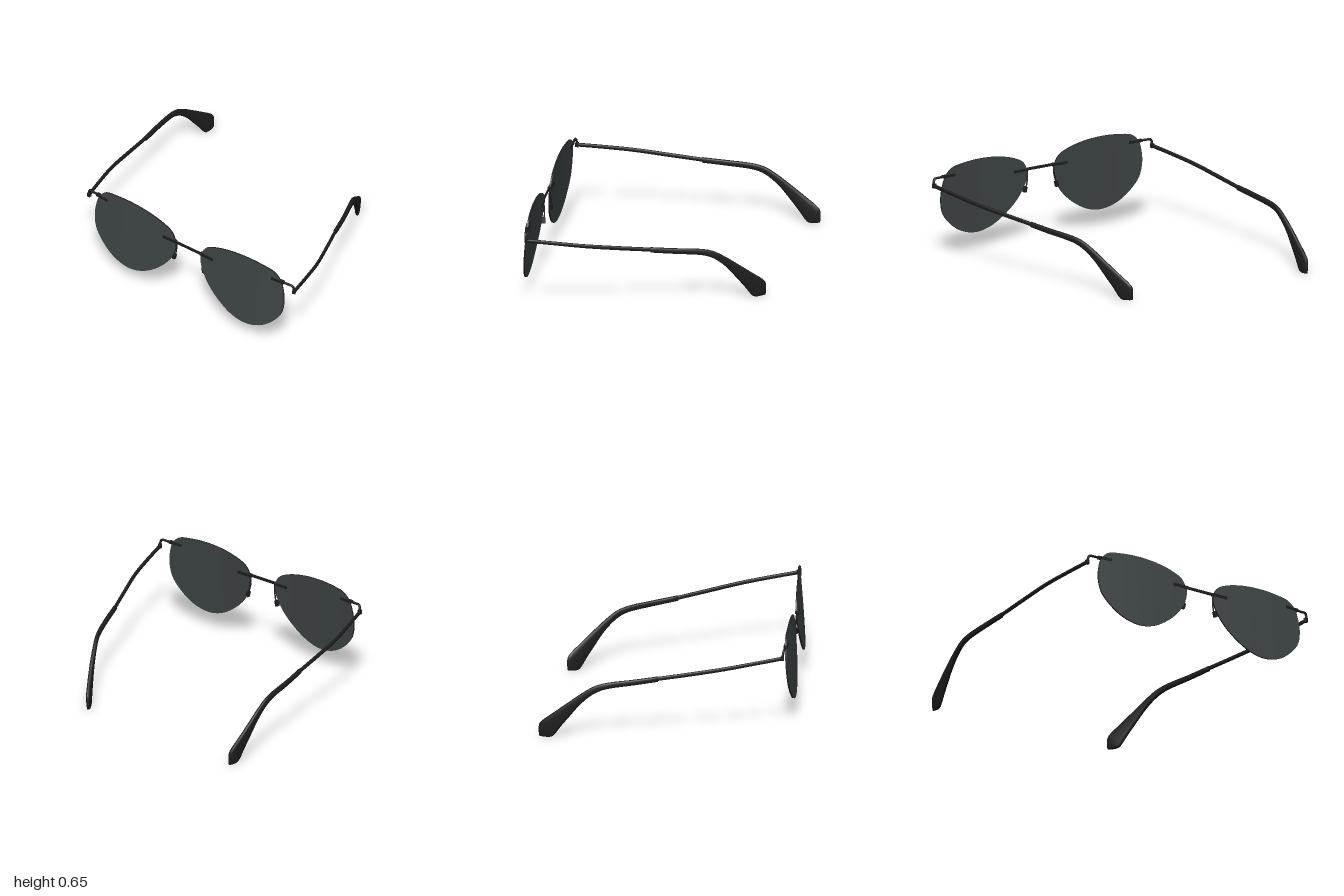
import * as THREE from 'three';

const CX = 0.105; // mirror plane of the lenses and bridge
const V = (x, y, z) => new THREE.Vector3(x, y, z);

// Skin a list of closed rings, each with the same number of points
function loft(rings) {
  const n = rings[0].length, pos = [], idx = [];
  rings.forEach(r => r.forEach(p => pos.push(p.x, p.y, p.z)));
  for (let i = 0; i < rings.length - 1; i++) {
    for (let j = 0; j < n; j++) {
      const k = (j + 1) % n, a = i * n + j, b = i * n + k;
      idx.push(a, b, a + n, b, b + n, a + n);
    }
  }
  const g = new THREE.BufferGeometry();
  g.setAttribute('position', new THREE.Float32BufferAttribute(pos, 3));
  g.setIndex(idx);
  g.computeVertexNormals();
  return g;
}

// Lens outline (distance from mirror plane, height), from the nose side over the top
const OUTLINE = [
  [0.107, 0.46], [0.113, 0.52], [0.145, 0.575], [0.225, 0.615], [0.355, 0.645], [0.495, 0.655],
  [0.625, 0.647], [0.72, 0.628], [0.77, 0.58], [0.795, 0.51], [0.805, 0.415], [0.785, 0.315],
  [0.72, 0.23], [0.625, 0.16], [0.502, 0.128], [0.385, 0.15], [0.275, 0.215], [0.185, 0.30], [0.128, 0.39],
];
// Tilted, gently wrapped lens surface
const lensZ = (u, y) => 0.832 + 0.076 * (0.4 - y) - 0.08 * (u - 0.3) ** 2;

// Temple sections: [outward, half thickness, upper back, upper y, lower back, lower y]
const ROD = [
  [0, 0.010, 0, 0.543, 0, 0.517],
  [0.055, 0.010, 0.2, 0.518, 0.2, 0.492],
  [0.10, 0.010, 0.385, 0.494, 0.385, 0.467],
  [0.131, 0.010, 0.6, 0.466, 0.6, 0.438],
  [0.162, 0.010, 0.85, 0.434, 0.85, 0.407],
];
const SLEEVE = [
  [0.160, 0.013, 0.835, 0.439, 0.835, 0.402],
  [0.187, 0.013, 1.0, 0.421, 1.0, 0.382],
  [0.208, 0.013, 1.18, 0.402, 1.17, 0.361],
  [0.213, 0.013, 1.26, 0.380, 1.23, 0.343],
  [0.214, 0.014, 1.34, 0.333, 1.29, 0.308],
  [0.214, 0.015, 1.44, 0.260, 1.36, 0.245],
  [0.211, 0.016, 1.54, 0.185, 1.43, 0.160],
  [0.207, 0.017, 1.61, 0.132, 1.49, 0.085],
  [0.204, 0.017, 1.635, 0.105, 1.53, 0.030],
  [0.202, 0.015, 1.642, 0.060, 1.55, 0.010],
  [0.201, 0.011, 1.638, 0.014, 1.57, 0.006],
];

function templeGeometry(sections, side) {
  const upper = new THREE.CatmullRomCurve3(sections.map(s => V(side * s[0], s[3], -s[2])));
  const lower = new THREE.CatmullRomCurve3(sections.map(s => V(side * s[0], s[5], -s[4])));
  const steps = (sections.length - 1) * 4, sides = 16, rings = [];
  const ring = (t, size) => {
    const f = t * (sections.length - 1), i = Math.min(Math.floor(f), sections.length - 2);
    const thick = THREE.MathUtils.lerp(sections[i][1], sections[i + 1][1], f - i);
    const up = upper.getPoint(t), low = lower.getPoint(t);
    const mid = up.clone().add(low).multiplyScalar(0.5), half = up.sub(low).multiplyScalar(0.5);
    const pts = [];
    for (let j = 0; j < sides; j++) {
      const a = j / sides * Math.PI * 2, c = Math.cos(a), s = Math.sin(a);
      // rounded-rectangle section
      const rc = Math.sign(c) * Math.abs(c) ** 0.75, rs = Math.sign(s) * Math.abs(s) ** 0.75;
      pts.push(mid.clone().addScaledVector(half, rc * size).add(V(rs * thick * size, 0, 0)));
    }
    return pts;
  };
  rings.push(ring(0, 0));
  for (let i = 0; i <= steps; i++) rings.push(ring(i / steps, 1));
  rings.push(ring(1, 0));
  return loft(rings);
}

export function createModel() {
  const root = new THREE.Group();
  root.name = 'sunglasses';
  const frameMat = new THREE.MeshStandardMaterial({ color: 0x1e1e1e });
  frameMat.name = 'black frame';
  const lensMat = new THREE.MeshStandardMaterial({ color: 0x3e4444 });
  lensMat.name = 'smoke grey lens';

  const add = (parent, name, geo, mat = frameMat) => {
    const m = new THREE.Mesh(geo, mat);
    m.name = name;
    parent.add(m);
    return m;
  };
  const box = (parent, name, w, h, d, x, y, z) => {
    const m = add(parent, name, new THREE.BoxGeometry(w, h, d));
    m.position.set(x, y, z);
    return m;
  };
  const tube = (parent, name, pts, r) =>
    add(parent, name, new THREE.TubeGeometry(new THREE.CatmullRomCurve3(pts), 20, r, 8));

  // Bridge between the lenses
  box(root, 'bridge', 0.24, 0.018, 0.009, CX, 0.513, 0.826);

  for (const side of [1, -1]) {
    const label = side > 0 ? 'left' : 'right';
    const X = u => CX + side * u;

    // Lens: front and back faces plus a dark edge
    const curve = new THREE.CatmullRomCurve3(OUTLINE.map(p => V(p[0], p[1], 0)), true);
    let outline = curve.getPoints(80).slice(0, 80);
    if (side > 0) outline = outline.reverse();
    const lensRing = (scale, dz) => outline.map(p => {
      const u = 0.47 + (p.x - 0.47) * scale, y = 0.41 + (p.y - 0.41) * scale;
      return V(X(u), y, lensZ(u, y) + dz);
    });
    const scales = [1, 0.8, 0.6, 0.4, 0.2, 0];
    const lens = new THREE.Group();
    lens.name = label + 'Lens';
    root.add(lens);
    add(lens, 'lensFront', loft(scales.map(s => lensRing(s, 0.005))), lensMat);
    add(lens, 'lensBack', loft([...scales].reverse().map(s => lensRing(s, -0.005))), lensMat);
    add(lens, 'lensEdge', loft([lensRing(1, -0.005), lensRing(1, 0.005)]));

    // Clip where the bridge grips the lens
    box(root, label + 'BridgeClip', 0.11, 0.019, 0.024, X(0.158), 0.513, 0.823);

    // Nose pad on a thin arm
    tube(root, label + 'NoseArm', [V(X(0.104), 0.51, 0.822), V(X(0.108), 0.45, 0.815), V(X(0.12), 0.385, 0.812)], 0.005);
    const pad = box(root, label + 'NosePad', 0.022, 0.04, 0.022, X(0.126), 0.376, 0.816);
    pad.rotation.z = side * 0.25;

    // Outer clip and bent end piece
    const clip = box(root, label + 'EndClip', 0.10, 0.018, 0.024, X(0.748), 0.577, lensZ(0.748, 0.577));
    clip.rotation.y = side * 0.07;
    tube(root, label + 'EndPiece', [
      V(X(0.78), 0.577, 0.800), V(X(0.83), 0.577, 0.797), V(X(0.861), 0.576, 0.794),
      V(X(0.869), 0.566, 0.791), V(X(0.875), 0.53, 0.787),
    ], 0.0085);

    // Temple: rod and flared ear sleeve, the left one folded further in
    const temple = new THREE.Group();
    temple.name = label + 'Temple';
    temple.position.set(X(0.874), 0, 0.79);
    temple.rotation.y = side > 0 ? 0.51 : 0;
    root.add(temple);
    box(temple, 'hinge', 0.022, 0.03, 0.022, 0, 0.53, -0.004);
    add(temple, 'templeRod', templeGeometry(ROD, side));
    add(temple, 'earSleeve', templeGeometry(SLEEVE, side));
  }
  return root;
}
